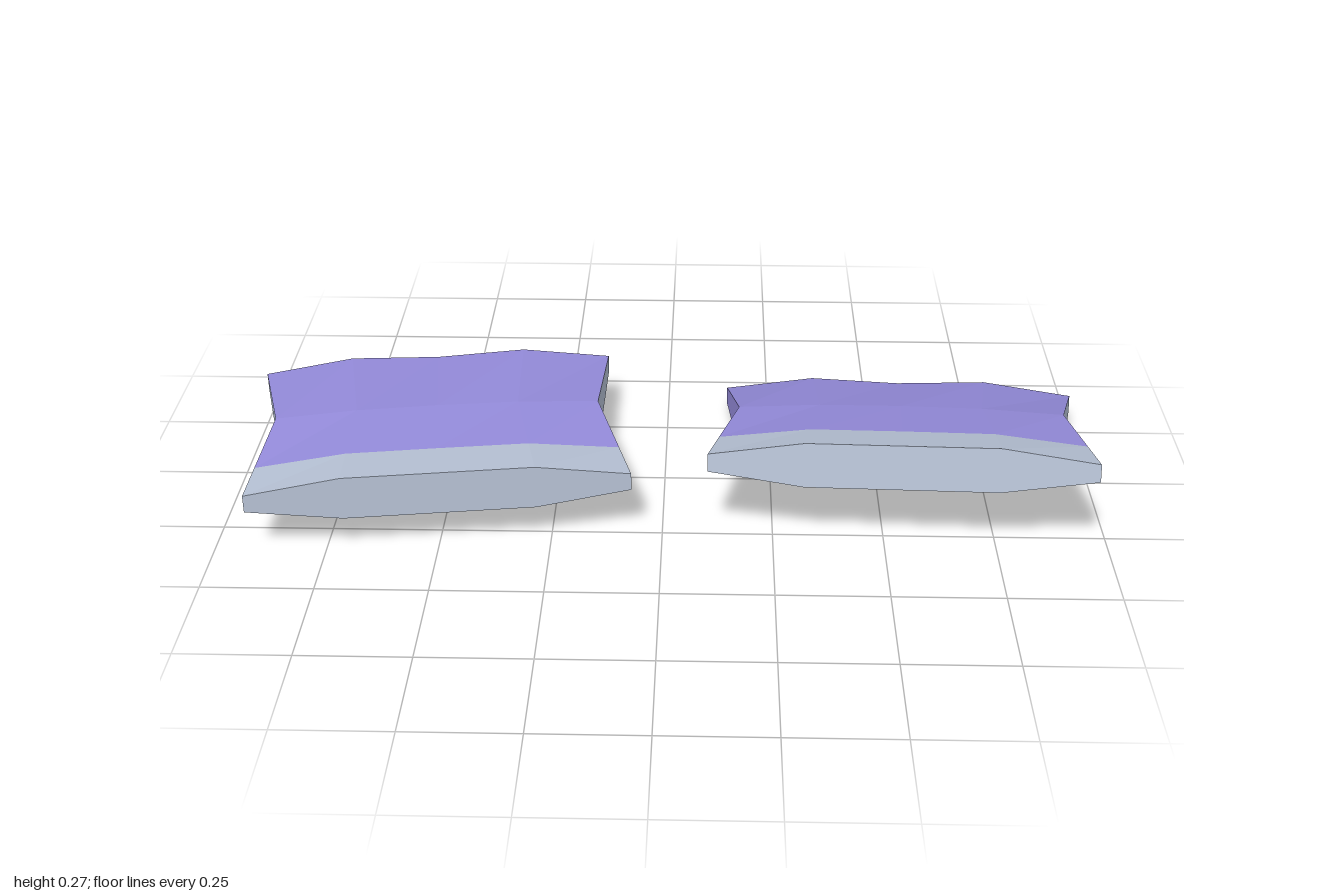
import * as THREE from 'three';

const lavender = new THREE.MeshStandardMaterial({ color: 0x958cdc, name: 'lavender' });
const paleBlue = new THREE.MeshStandardMaterial({ color: 0xb4bfd2, name: 'paleBlue' });
const darkMaroon = new THREE.MeshStandardMaterial({ color: 0x4f3038, name: 'darkMaroon' });

const BAND = 0.35; // where the pale band on top ends, between front and middle

// Cross-sections from front to back: depth, half width, half thickness per column
const front = { z: 0.325, w: 0.428, h: [0.02, 0.05, 0.05, 0.05, 0.02] };
const middle = { z: 0, w: 0.377, h: [0.05, 0.06, 0.062, 0.06, 0.05] };
const back = { z: -0.325, w: 0.425, h: [0.02, 0.05, 0.042, 0.05, 0.02] };
const mix = (a, b, t) => ({
  z: a.z + (b.z - a.z) * t,
  w: a.w + (b.w - a.w) * t,
  h: a.h.map((v, i) => v + (b.h[i] - v) * t),
});
const rows = [front, mix(front, middle, BAND), middle, back];

// Corner of the slab at column i, row r, on the upper (1) or lower (-1) face
const point = (i, r, side) => [rows[r].w * (i / 2 - 1), rows[r].h[i] * side, rows[r].z];

function panel(name, material, quads) {
  const positions = [];
  for (const [a, b, c, d] of quads) positions.push(...a, ...b, ...c, ...a, ...c, ...d);
  const geometry = new THREE.BufferGeometry();
  geometry.setAttribute('position', new THREE.Float32BufferAttribute(positions, 3));
  geometry.computeVertexNormals();
  const mesh = new THREE.Mesh(geometry, material);
  mesh.name = name;
  return mesh;
}

function createSlab(name, innerEndMaterial) {
  const top = [], band = [], under = [], patch = [];
  const frontFace = [], backFace = [], rightEnd = [], leftEnd = [];
  const last = rows.length - 1;

  for (let i = 0; i < 4; i++) {
    for (let r = 0; r < last; r++) {
      const ring = (s) => [point(i, r, s), point(i + 1, r, s), point(i + 1, r + 1, s), point(i, r + 1, s)];
      (r === 0 ? band : top).push(ring(1));
      const onPatch = r < 2 && (i === 1 || i === 2);
      (onPatch ? patch : under).push(ring(-1).reverse());
    }
    frontFace.push([point(i, 0, -1), point(i + 1, 0, -1), point(i + 1, 0, 1), point(i, 0, 1)]);
    backFace.push([point(i + 1, last, -1), point(i, last, -1), point(i, last, 1), point(i + 1, last, 1)]);
  }
  for (let r = 0; r < last; r++) {
    rightEnd.push([point(0, r + 1, -1), point(0, r, -1), point(0, r, 1), point(0, r + 1, 1)]);
    leftEnd.push([point(4, r, -1), point(4, r + 1, -1), point(4, r + 1, 1), point(4, r, 1)]);
  }

  const slab = new THREE.Group();
  slab.name = name;
  slab.rotation.order = 'YXZ';
  slab.add(
    panel('topPanel', lavender, top),
    panel('frontBand', paleBlue, band),
    panel('frontFace', paleBlue, frontFace),
    panel('backFace', lavender, backFace),
    panel('rightEnd', innerEndMaterial, rightEnd),
    panel('leftEnd', paleBlue, leftEnd),
    panel('underside', paleBlue, under),
    panel('undersidePatch', darkMaroon, patch),
  );
  return slab;
}

export function createModel() {
  const model = new THREE.Group();
  model.name = 'slabPair';

  // Left slab, tipped up at the front
  const left = createSlab('leftSlab', lavender);
  left.position.set(0.55, 0.138, 0);
  left.rotation.set(-0.25, -0.07, 0.02);

  // Right slab, nearly level
  const right = createSlab('rightSlab', paleBlue);
  right.position.set(-0.533, 0.129, -0.003);
  right.rotation.set(-0.045, 0.123, 0.01);

  model.add(left, right);
  return model;
}
